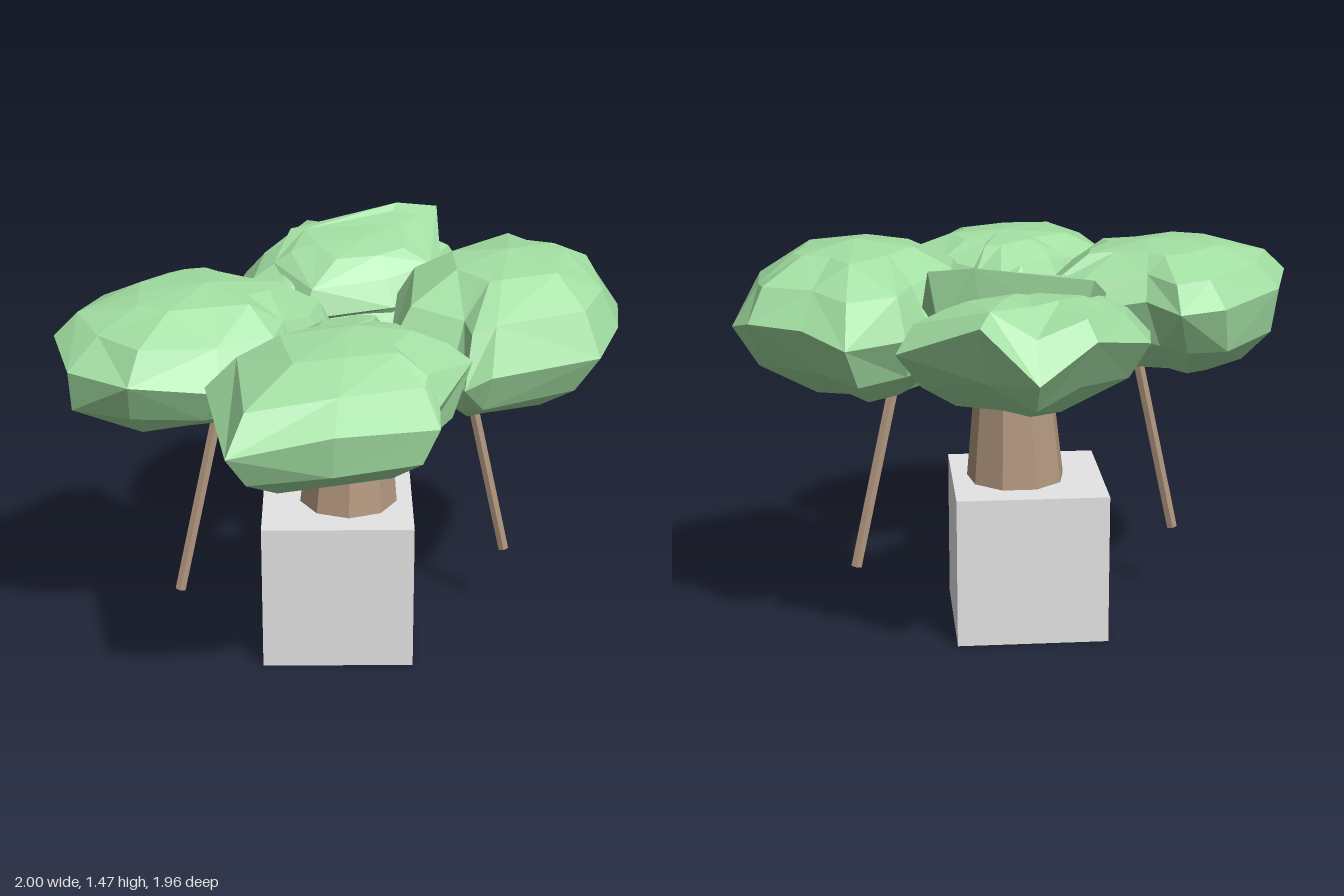
import * as THREE from 'three';

const leaf = new THREE.MeshStandardMaterial({ color: 0xa2dea2 });
leaf.name = 'leafGreen';
const bark = new THREE.MeshStandardMaterial({ color: 0xb39880 });
bark.name = 'barkBrown';
const stone = new THREE.MeshStandardMaterial({ color: 0xe5e5e5 });
stone.name = 'stoneGrey';
for (const m of [leaf, bark, stone]) m.flatShading = true;

// Faceted canopy clump: an [x, z, y] rim, counterclockwise from above, domed up and down;
// shift slides the underside sideways, lean tips the top
const LEVELS = [[0.52, -0.95], [0.84, -0.57], [1, 0], [0.82, 0.52], [0.48, 0.88]];

function clump(name, rim, top, bottom, shift, lean = 0) {
  const n = rim.length, pos = [], idx = [];
  const cx = rim.reduce((s, p) => s + p[0], 0) / n;
  const cz = rim.reduce((s, p) => s + p[1], 0) / n;
  LEVELS.forEach(([s, h], r) => {
    const slide = Math.max(-h, 0);
    rim.forEach(([x, z, y], i) => {
      const k = r === 2 ? 1 : s + 0.04 * Math.sin(i * 2.4 + r * 1.7);
      const dz = (z - cz) * k;
      const py = h < 0 ? y + (bottom - y) * -h : y + (top - y) * h;
      pos.push(cx + (x - cx) * k + shift[0] * slide, py - (h > 0 ? lean * dz * h : 0), cz + dz + shift[1] * slide);
    });
  });
  const low = pos.length / 3;
  pos.push(cx + shift[0], bottom, cz + shift[1], cx, top, cz);
  for (let i = 0; i < n; i++) {
    const j = (i + 1) % n;
    for (let r = 0; r < LEVELS.length - 1; r++) {
      const a = r * n + i, b = r * n + j, c = b + n, d = a + n;
      if ((i + r) % 2) idx.push(a, b, c, a, c, d);
      else idx.push(a, b, d, b, c, d);
    }
    const t = (LEVELS.length - 1) * n;
    idx.push(low, j, i, low + 1, t + i, t + j);
  }
  let geo = new THREE.BufferGeometry();
  geo.setAttribute('position', new THREE.Float32BufferAttribute(pos, 3));
  geo.setIndex(idx);
  geo = geo.toNonIndexed();
  geo.computeVertexNormals();
  const mesh = new THREE.Mesh(geo, leaf);
  mesh.name = name;
  return mesh;
}

// Straight tapered limb between two points
function limb(name, from, to, r0, r1, sides = 6) {
  const a = new THREE.Vector3(...from), b = new THREE.Vector3(...to);
  const dir = b.clone().sub(a);
  const mesh = new THREE.Mesh(new THREE.CylinderGeometry(r1, r0, dir.length(), sides), bark);
  mesh.position.copy(a).add(b).multiplyScalar(0.5);
  mesh.quaternion.setFromUnitVectors(new THREE.Vector3(0, 1, 0), dir.normalize());
  mesh.name = name;
  return mesh;
}

export function createModel() {
  const group = new THREE.Group();
  group.name = 'tree';

  // Block the tree stands on
  const base = new THREE.Mesh(new THREE.BoxGeometry(0.545, 0.55, 0.55), stone);
  base.position.set(-0.028, 0.275, 0);
  base.name = 'baseBlock';
  group.add(base);

  // Trunk and branches
  group.add(limb('trunk', [0.012, 0.54, 0], [0.02, 0.93, -0.01], 0.18, 0.14, 9));
  group.add(limb('frontBranch', [0, 0.91, 0.05], [0, 1.08, 0.48], 0.033, 0.028));
  group.add(limb('backBranch', [0.02, 0.91, -0.05], [0.02, 1.08, -0.48], 0.033, 0.028));

  // Side branches and hanging roots, on opposite sides of the trunk
  for (const [side, s, zLow, zHigh] of [['left', 1, -0.14, -0.105], ['right', -1, 0.18, 0.13]]) {
    group.add(limb(side + 'Branch', [s * 0.06, 0.91, -s * 0.02], [s * 0.5, 1.07, -s * 0.08], 0.033, 0.028));
    group.add(limb(side + 'HangingRoot', [s * 0.6, 0.27, zLow], [s * 0.43, 1.04, zHigh], 0.021, 0.021));
  }

  // Canopy clumps
  group.add(clump('rightCanopy', [
    [-0.93, 0.42, 1.21], [-0.72, 0.54, 1.2], [-0.42, 0.47, 1.15], [-0.19, 0.36, 1.16],
    [-0.17, 0.22, 1.2], [-0.03, 0.05, 1.13], [-0.02, -0.13, 1.13], [-0.16, -0.18, 1.2],
    [-0.42, -0.25, 1.25], [-0.52, -0.38, 1.23], [-0.68, -0.35, 1.24], [-0.93, -0.04, 1.24],
    [-1, 0.2, 1.26]], 1.41, 0.95, [-0.09, 0.02]));
  group.add(clump('frontCanopy', [
    [-0.47, 0.48, 1.18], [-0.38, 0.98, 1.14], [-0.04, 0.95, 1.2], [0.3, 0.77, 1.15],
    [0.3, 0.7, 1.2], [0.42, 0.45, 1.26], [0.3, 0.28, 1.2], [0.17, 0.18, 1.17],
    [0.17, 0.1, 1.15], [0.06, 0.05, 1.16], [-0.04, 0.12, 1.2], [-0.17, 0.23, 1.22],
    [-0.24, 0.3, 1.2]], 1.38, 0.94, [-0.03, 0.09]));
  group.add(clump('leftCanopy', [
    [1, -0.27, 1.2], [0.94, -0.41, 1.24], [0.76, -0.52, 1.24], [0.62, -0.65, 1.2],
    [0.42, -0.53, 1.2], [0.34, -0.41, 1.22], [0.19, -0.2, 1.27], [0.15, 0.18, 1.2],
    [0.36, 0.3, 1.15], [0.4, 0.4, 1.13], [0.49, 0.41, 1.18], [0.88, 0.2, 1.17],
    [0.97, -0.03, 1.2]], 1.465, 0.94, [-0.06, 0.03]));
  group.add(clump('backCanopy', [
    [0.02, -0.98, 1.16], [-0.17, -0.9, 1.28], [-0.38, -0.62, 1.2], [-0.42, -0.35, 1.17],
    [-0.28, -0.2, 1.16], [-0.1, -0.17, 1.12], [0.2, -0.24, 1.14], [0.36, -0.35, 1.16],
    [0.38, -0.5, 1.18], [0.46, -0.7, 1.2], [0.2, -0.9, 1.33]], 1.37, 0.97, [0, 0.08], 0.1));
  group.add(clump('backUpperCanopy', [
    [0.35, -0.65, 1.46], [0.2, -0.66, 1.47], [-0.2, -0.56, 1.4], [-0.26, -0.4, 1.32],
    [-0.15, -0.17, 1.18], [0.18, -0.24, 1.2], [0.36, -0.35, 1.26]], 1.4, 1.12, [0, 0], 0.12));
  return group;
}
